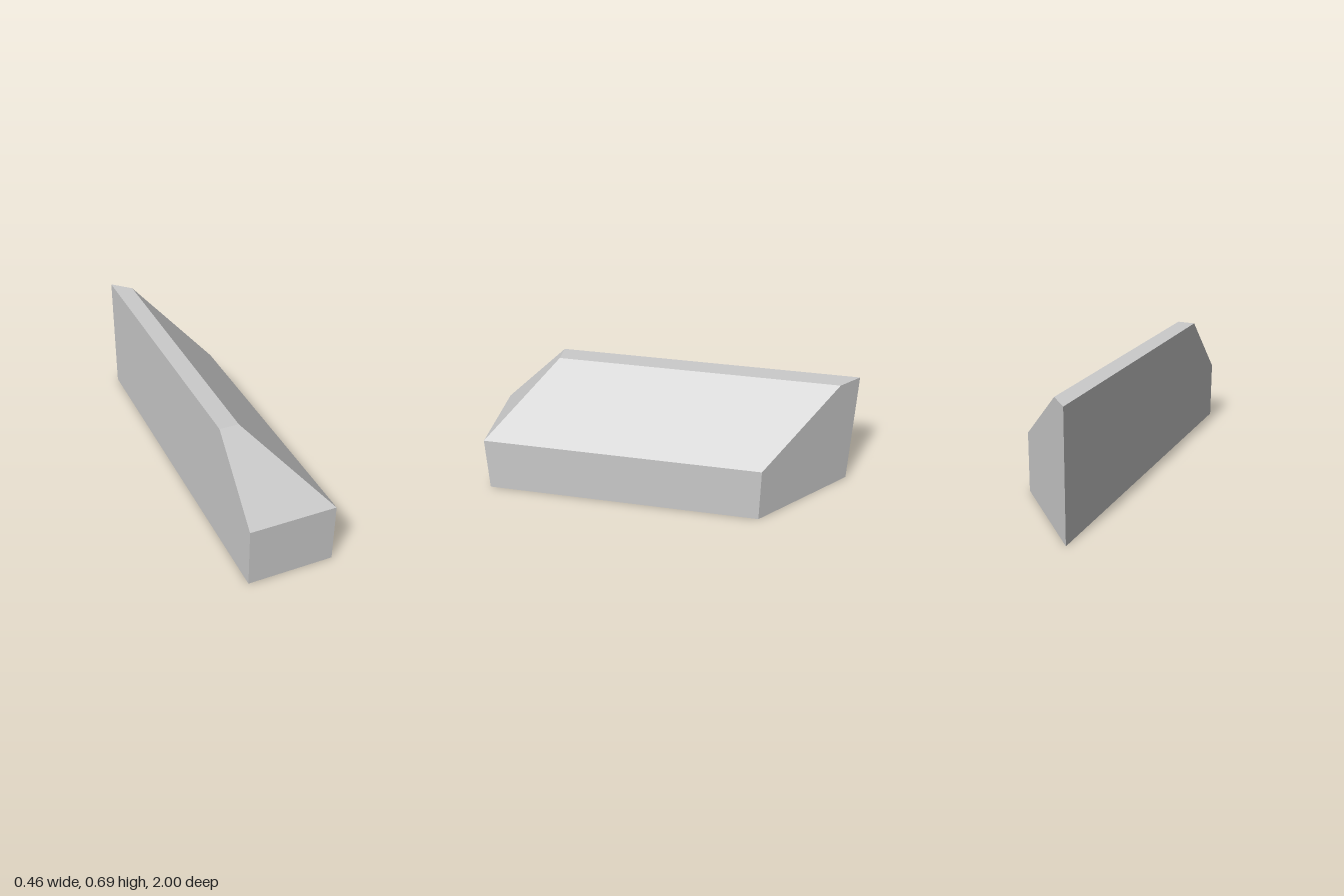
import * as THREE from 'three';
import { ConvexGeometry } from 'three/addons/geometries/ConvexGeometry.js';

const HALF_W = 0.23, SHOULDER = 0.328, TOP = 0.686, RIDGE_X = -0.13;

// Front end: upright to the shoulder, then leaning back at 45 degrees
const frontZ = (x, y) => 1 - Math.max(0, y - SHOULDER);
// Back end: upright mitre cut at 45 degrees
const backZ = (x) => -1 + (x + HALF_W);

export function createModel() {
  const group = new THREE.Group();
  group.name = 'bevelledBlock';

  // Cross-section with a sloping shoulder on one side
  const profile = [
    [-HALF_W, 0], [HALF_W, 0], [HALF_W, SHOULDER], [RIDGE_X, TOP], [-HALF_W, TOP],
  ];
  const points = [new THREE.Vector3(-HALF_W, SHOULDER, 1)];
  for (const [x, y] of profile) {
    points.push(new THREE.Vector3(x, y, frontZ(x, y)), new THREE.Vector3(x, y, backZ(x)));
  }

  const block = new THREE.Mesh(
    new ConvexGeometry(points),
    new THREE.MeshStandardMaterial({ color: 0xcccccc, flatShading: true })
  );
  block.name = 'block';
  group.add(block);
  return group;
}
